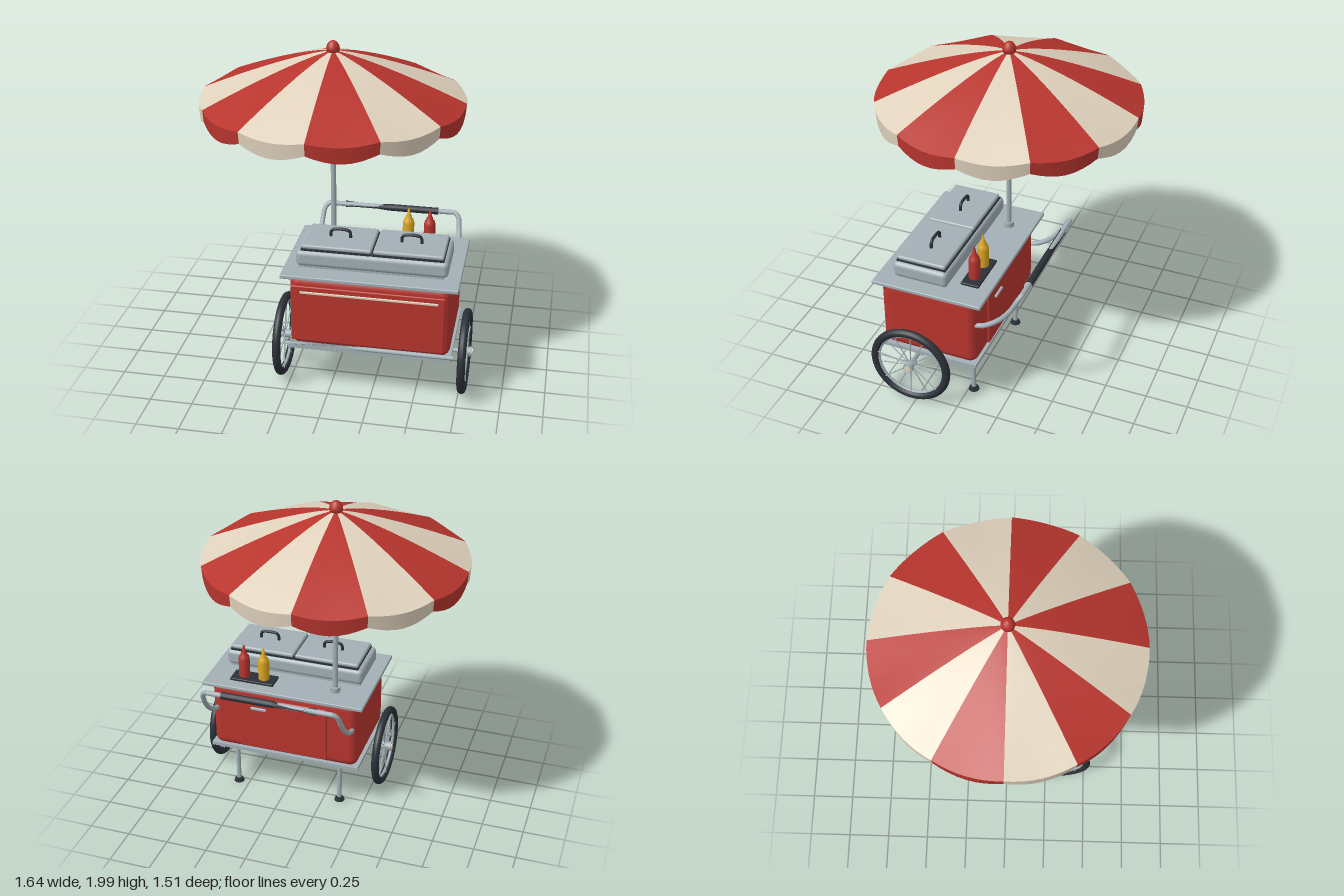
import * as THREE from 'three';
import { mergeGeometries } from 'three/addons/utils/BufferGeometryUtils.js';
import { RoundedBoxGeometry } from 'three/addons/geometries/RoundedBoxGeometry.js';

const mat = (name, color, side = THREE.FrontSide) => {
  const m = new THREE.MeshStandardMaterial({ color, side });
  m.name = name;
  return m;
};

// Smooth grid surface, f(u, v) -> [x, y, z] with u and v in 0..1
function gridSurface(nu, nv, f) {
  const pos = [], index = [];
  for (let j = 0; j <= nv; j++) for (let i = 0; i <= nu; i++) pos.push(...f(i / nu, j / nv));
  for (let j = 0; j < nv; j++) for (let i = 0; i < nu; i++) {
    const a = j * (nu + 1) + i, b = a + 1, c = a + nu + 1, d = c + 1;
    index.push(a, b, c, b, d, c);
  }
  const g = new THREE.BufferGeometry();
  g.setAttribute('position', new THREE.Float32BufferAttribute(pos, 3));
  g.setIndex(index);
  g.computeVertexNormals();
  return g;
}

export function createModel() {
  const root = new THREE.Group();
  root.name = 'vendingCart';
  const red = mat('red paint', 0xb8352e);
  const redCloth = mat('red cloth', 0xb8352e, THREE.DoubleSide);
  const creamCloth = mat('cream cloth', 0xe0d2bd, THREE.DoubleSide);
  const steel = mat('steel', 0xa3b0b6);
  const black = mat('black rubber', 0x2b3138);
  const yellow = mat('mustard yellow', 0xdba622);

  const CX = 0.235, CZ = 0.19, PX = -0.06;

  const add = (name, geo, m, x = 0, y = 0, z = 0, parent = root) => {
    const mesh = new THREE.Mesh(geo, m);
    mesh.name = name;
    mesh.position.set(x, y, z);
    parent.add(mesh);
    return mesh;
  };
  // Box given by its ranges; r rounds the edges
  const box = (name, m, x0, x1, y0, y1, z0, z1, r = 0) => {
    const s = [x1 - x0, y1 - y0, z1 - z0];
    const g = r ? new RoundedBoxGeometry(...s, 4, r) : new THREE.BoxGeometry(...s);
    return add(name, g, m, (x0 + x1) / 2, (y0 + y1) / 2, (z0 + z1) / 2);
  };
  const cyl = (name, m, r, y0, y1, x, z, rTop = r) =>
    add(name, new THREE.CylinderGeometry(rTop, r, y1 - y0, 20), m, x, (y0 + y1) / 2, z);
  const tube = (name, m, pts, r, n = 40, tension = 0.5) => {
    const c = new THREE.CatmullRomCurve3(pts.map(p => new THREE.Vector3(...p)), false, 'catmullrom', tension);
    return add(name, new THREE.TubeGeometry(c, n, r, 12), m);
  };

  // Cabinet with front panel, rear door and their pulls
  box('cabinet', red, -0.225, 0.7, 0.31, 0.76, -0.1, 0.48, 0.055);
  box('frontPanel', red, -0.215, 0.668, 0.345, 0.7, 0.455, 0.487, 0.008);
  box('frontPull', creamCloth, -0.16, 0.63, 0.655, 0.67, 0.485, 0.494, 0.004);
  box('rearDoor', red, -0.04, 0.52, 0.345, 0.7, -0.112, -0.08, 0.006);
  box('rearDoorPull', steel, 0.34, 0.44, 0.62, 0.638, -0.126, -0.11, 0.006);

  // Base plate, front rail and underside patch
  box('basePlate', steel, -0.235, 0.71, 0.3, 0.322, -0.105, 0.5);
  box('undersidePatch', red, 0.09, 0.39, 0.297, 0.301, 0.1, 0.29);
  tube('frontRail', steel, [[-0.25, 0.333, 0.495], [0.725, 0.333, 0.495]], 0.013, 2);

  // Counter and warming tray
  box('counter', steel, -0.27, 0.74, 0.753, 0.777, -0.148, 0.517, 0.006);
  box('trayFoot', steel, -0.185, 0.645, 0.775, 0.8, 0.1, 0.4);
  box('tray', steel, -0.2, 0.67, 0.788, 0.885, 0.084, 0.417, 0.028);

  // Lids with seals and arched handles
  for (const x of [0.032, 0.442]) {
    box('lidSeal', black, x - 0.203, x + 0.203, 0.882, 0.893, 0.1, 0.4);
    box('lid', steel, x - 0.2, x + 0.2, 0.89, 0.917, 0.104, 0.396, 0.012);
    tube('lidHandle', black, [[x - 0.058, 0.91, 0.25], [x - 0.054, 0.948, 0.25], [x - 0.03, 0.962, 0.25],
      [x + 0.03, 0.962, 0.25], [x + 0.054, 0.948, 0.25], [x + 0.058, 0.91, 0.25]], 0.009, 30);
  }

  // Sauce bottles on a dark mat
  box('bottleMat', black, 0.31, 0.585, 0.775, 0.792, -0.075, 0.035, 0.005);
  const bottle = new THREE.LatheGeometry([[0, 0], [0.031, 0], [0.034, 0.008], [0.034, 0.12], [0.028, 0.142],
    [0.019, 0.15], [0.019, 0.162], [0.012, 0.17], [0.005, 0.21], [0, 0.21]].map(p => new THREE.Vector2(...p)), 24);
  add('mustardBottle', bottle, yellow, 0.385, 0.79, -0.02);
  add('ketchupBottle', bottle, red, 0.51, 0.79, -0.02);

  // Push handle and grip
  const half = [[0.43, 0.58, -0.09], [0.43, 0.6, -0.15], [0.428, 0.66, -0.23], [0.425, 0.74, -0.295],
    [0.415, 0.815, -0.335], [0.385, 0.842, -0.352], [0.33, 0.842, -0.352]];
  tube('pushHandle', steel, [...half.map(p => [CX + p[0], p[1], p[2]]),
    ...half.map(p => [CX - p[0], p[1], p[2]]).reverse()], 0.015, 90);
  tube('grip', black, [[CX - 0.29, 0.842, -0.352], [CX + 0.29, 0.842, -0.352]], 0.021, 2);

  // Legs with feet
  for (const x of [-0.1, 0.57]) {
    cyl('leg', steel, 0.014, 0.02, 0.305, x, -0.03);
    cyl('foot', black, 0.032, 0.008, 0.022, x, -0.03, 0.028);
    cyl('footCollar', black, 0.02, 0.02, 0.032, x, -0.03);
  }

  // Axle and its brackets
  const WY = 0.257, WZ = 0.28;
  tube('axle', steel, [[CX - 0.57, WY, WZ], [CX + 0.57, WY, WZ]], 0.013, 2);
  for (const s of [-1, 1])
    box('axleBracket', steel, CX + s * 0.415 - 0.017, CX + s * 0.415 + 0.017, 0.245, 0.302, WZ - 0.025, WZ + 0.025, 0.006);

  // Spoked wheels, built in the xy plane then turned sideways
  const spokes = [];
  for (let i = 0; i < 14; i++) {
    const g = new THREE.CylinderGeometry(0.0035, 0.0035, 0.19, 6);
    g.translate(0, 0.115, 0);
    g.rotateX((i % 2 ? 1 : -1) * 0.06);
    g.rotateZ(i * Math.PI / 7);
    spokes.push(g);
  }
  const spokeGeo = mergeGeometries(spokes);
  for (const s of [-1, 1]) {
    const wheel = new THREE.Group();
    wheel.name = s < 0 ? 'rightWheel' : 'leftWheel';
    wheel.position.set(CX + s * 0.537, WY, WZ);
    wheel.rotation.y = s * Math.PI / 2;
    root.add(wheel);
    add('tyre', new THREE.TorusGeometry(0.226, 0.024, 14, 56), black, 0, 0, 0, wheel);
    add('rim', new THREE.TorusGeometry(0.203, 0.009, 8, 56), steel, 0, 0, 0, wheel);
    add('spokes', spokeGeo, steel, 0, 0, 0, wheel);
    const disc = (name, m, r, len, z) =>
      add(name, new THREE.CylinderGeometry(r, r, len, 20).rotateX(Math.PI / 2), m, 0, 0, z, wheel);
    disc('hub', steel, 0.024, 0.08, 0);
    disc('hubFlange', steel, 0.03, 0.016, 0.034);
    disc('hubCap', creamCloth, 0.02, 0.01, 0.043);
  }

  // Umbrella pole with collars and finial
  cyl('poleCollar', steel, 0.03, 0.775, 0.81, PX, 0);
  cyl('pole', steel, 0.016, 0.775, 1.93, PX, 0);
  cyl('umbrellaHub', steel, 0.027, 1.8, 1.85, PX, 0);
  const finial = [[0.0, -0.02], [0.036, -0.02], [0.039, 0], [0.034, 0.02], [0.022, 0.036], [0.01, 0.043], [0, 0.044]];
  add('finial', new THREE.LatheGeometry(finial.map(p => new THREE.Vector2(...p)), 24), red, PX, 1.956, 0);

  // Umbrella canopy: twelve sagging panels with scalloped valances
  const R = 0.757, step = Math.PI / 6;
  const canopyY = (u, t) => 1.945 - 0.265 * Math.pow(t, 1.25) - 0.018 * t * t * Math.sin(u * Math.PI);
  const ring = (a, r, y) => [PX + r * Math.cos(a), y, r * Math.sin(a)];
  for (let i = 0; i < 12; i++) {
    const m = i % 2 ? creamCloth : redCloth;
    add('canopyPanel', gridSurface(8, 8, (u, v) => {
      const t = 0.02 + 0.98 * v;
      return ring((i + u) * step, R * t, canopyY(u, t));
    }), m);
    add('valance', gridSurface(8, 2, (u, v) => {
      const top = canopyY(u, 1), bottom = 1.61 - 0.04 * Math.sin(u * Math.PI);
      return ring((i + u) * step, R - 0.006 * v, top + (bottom - top) * v);
    }), m);
    tube('rib', steel, [0.03, 0.35, 0.7, 0.98].map(t => ring(i * step, R * t, canopyY(0, t) - 0.007)), 0.004, 10);
  }
  return root;
}
